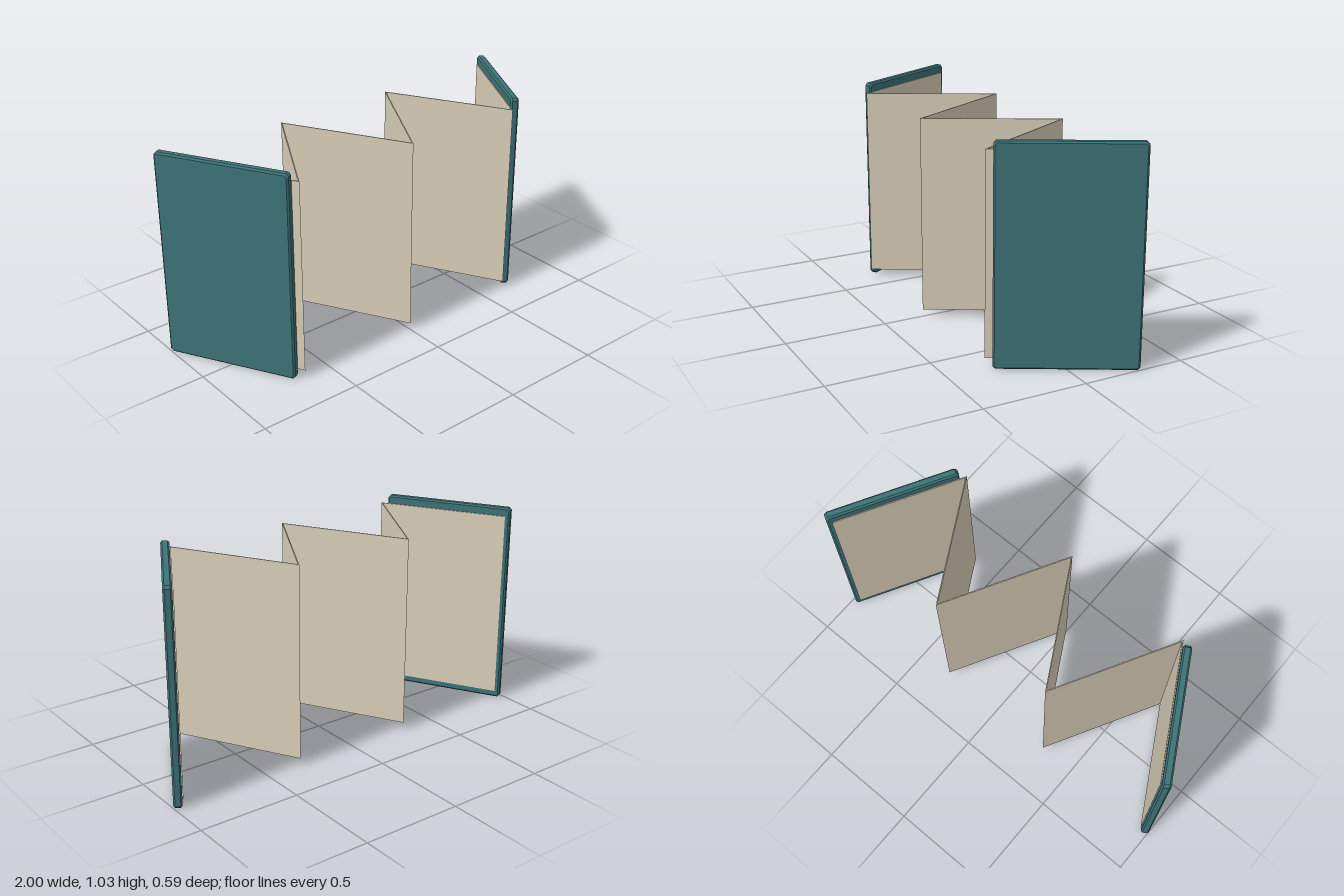
import * as THREE from 'three';

const HEIGHT = 1.033;            // cover height
const STEP = 0.318;              // x distance between folds
const AMP = 0.285;               // z reach of the folds
const MID_Z = 0.008;

// Rectangle with cut corners, centred on the origin
function cutRect(w, h, c) {
  const x = w / 2, y = h / 2;
  return new THREE.Shape([
    [x - c, -y], [x, -y + c], [x, y - c], [x - c, y],
    [-x + c, y], [-x, y - c], [-x, -y + c], [-x + c, -y],
  ].map(([a, b]) => new THREE.Vector2(a, b)));
}

// Zigzag paper strip: mitred outline in plan, extruded upward
function buildPages(material) {
  const offset = 0.005, bottom = 0.035, top = 0.99;
  const front = [], back = [];
  for (let i = -3; i <= 3; i++) {
    const z = MID_Z + (i % 2 === 0 ? AMP : -AMP);
    front.push(new THREE.Vector2(i * STEP, -(z + offset)));
    back.unshift(new THREE.Vector2(i * STEP, -(z - offset)));
  }
  const geometry = new THREE.ExtrudeGeometry(new THREE.Shape([...front, ...back]), {
    depth: top - bottom, bevelEnabled: false,
  });
  geometry.rotateX(-Math.PI / 2).translate(0, bottom, 0);
  const mesh = new THREE.Mesh(geometry, material);
  mesh.name = 'foldedPages';
  return mesh;
}

// Stiff board with chamfered edges
function coverGeometry() {
  const width = 0.65, thickness = 0.041, bevel = 0.008;
  const geometry = new THREE.ExtrudeGeometry(
    cutRect(width - 2 * bevel, HEIGHT - 2 * bevel, 0.008), {
      depth: thickness - 2 * bevel, bevelThickness: bevel, bevelSize: bevel, bevelSegments: 1,
    });
  return geometry.translate(0, 0, -(thickness / 2 - bevel));
}

export function createModel() {
  const model = new THREE.Group();
  model.name = 'accordionBook';
  const paper = new THREE.MeshStandardMaterial({ color: 0xd9cfb8 });
  const cloth = new THREE.MeshStandardMaterial({ color: 0x3d7378 });

  model.add(buildPages(paper));

  // Covers lie on the outside of the two end panels
  const board = coverGeometry();
  const angle = Math.atan2(2 * AMP, STEP);
  for (const [side, name] of [[1, 'leftCover'], [-1, 'rightCover']]) {
    const cover = new THREE.Mesh(board, cloth);
    cover.name = name;
    cover.position.set(side * 0.829, HEIGHT / 2, -0.006);
    cover.rotation.y = side * angle;
    model.add(cover);
  }
  return model;
}
